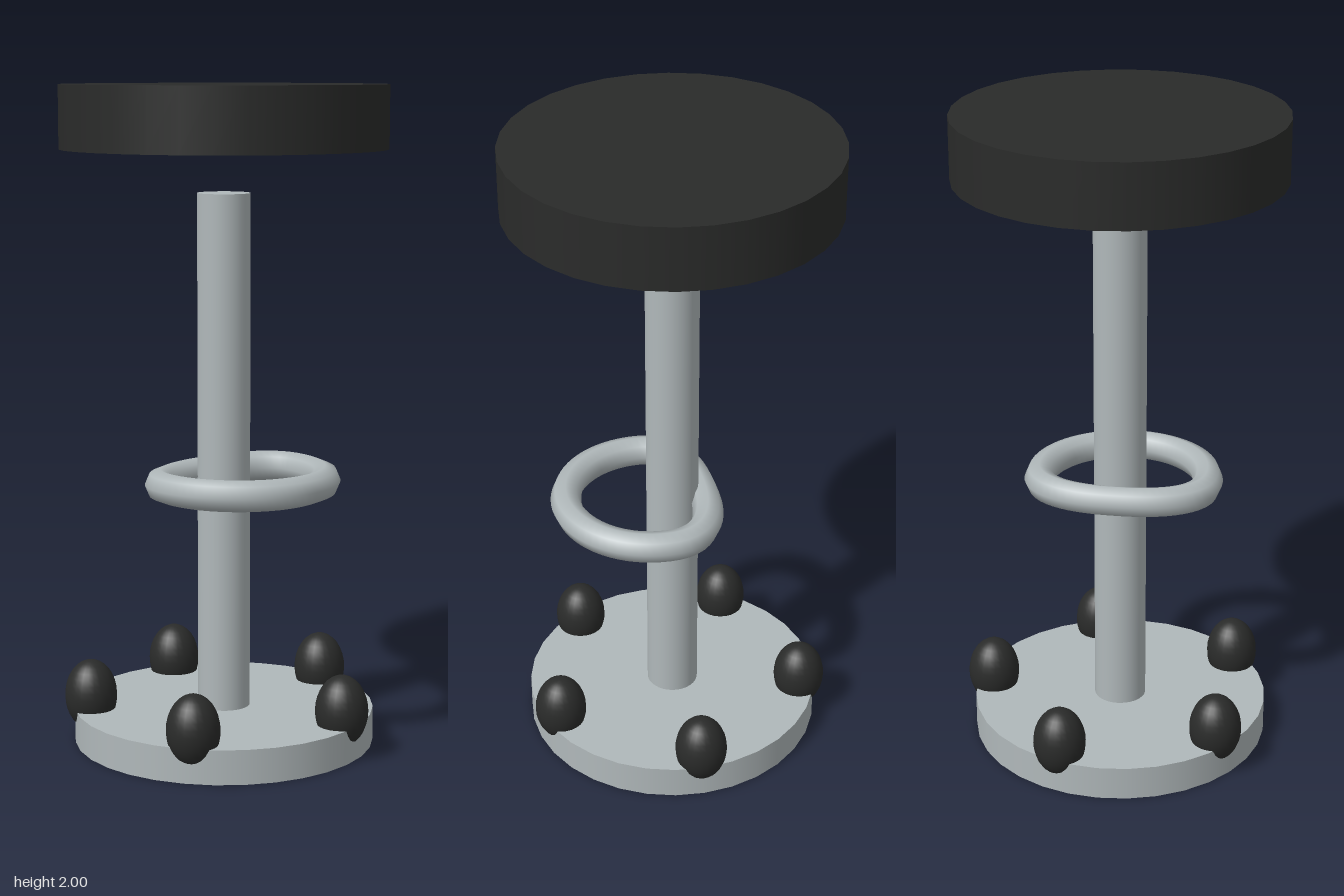
import * as THREE from 'three';

export function createModel() {
  const model = new THREE.Group();
  const metal = new THREE.MeshStandardMaterial({ color: 0xb0b8ba });
  const black = new THREE.MeshStandardMaterial({ color: 0x2a2b2a });

  const add = (name, geometry, material, x, y, z) => {
    const mesh = new THREE.Mesh(geometry, material);
    mesh.name = name;
    mesh.position.set(x, y, z);
    model.add(mesh);
    return mesh;
  };
  // Upright cylinder between two heights
  const disc = (name, radius, bottom, top, material) =>
    add(name, new THREE.CylinderGeometry(radius, radius, top - bottom, 32), material, 0, (top + bottom) / 2, 0);

  disc('seat', 0.49, 1.81, 2, black);
  disc('column', 0.08, 0.02, 1.68, metal);
  disc('base', 0.46, 0, 0.105, metal);

  // Foot ring: round at the front, flattened where it meets the column
  const points = [];
  for (let i = 0; i < 32; i++) {
    const a = (i / 32) * Math.PI * 2;
    const c = Math.cos(a), s = Math.sin(a);
    const power = s < 0 ? 2 / 2.4 : 1;
    const depth = s < 0 ? 0.164 : 0.26;
    points.push(new THREE.Vector3(
      0.26 * Math.sign(c) * Math.abs(c) ** power, 0,
      depth * Math.sign(s) * Math.abs(s) ** power));
  }
  const ringPath = new THREE.CatmullRomCurve3(points, true);
  add('footRing', new THREE.TubeGeometry(ringPath, 64, 0.047, 8, true), metal, 0, 0.822, 0.068);

  // Five egg-shaped feet set into the rim of the base
  const footGeometry = new THREE.SphereGeometry(0.08, 24, 16).scale(1, 1.37, 1);
  for (let i = 0; i < 5; i++) {
    const a = (i / 5) * Math.PI * 2;
    add(`foot${i + 1}`, footGeometry, black, 0.41 * Math.cos(a), 0.146, 0.41 * Math.sin(a));
  }
  return model;
}
